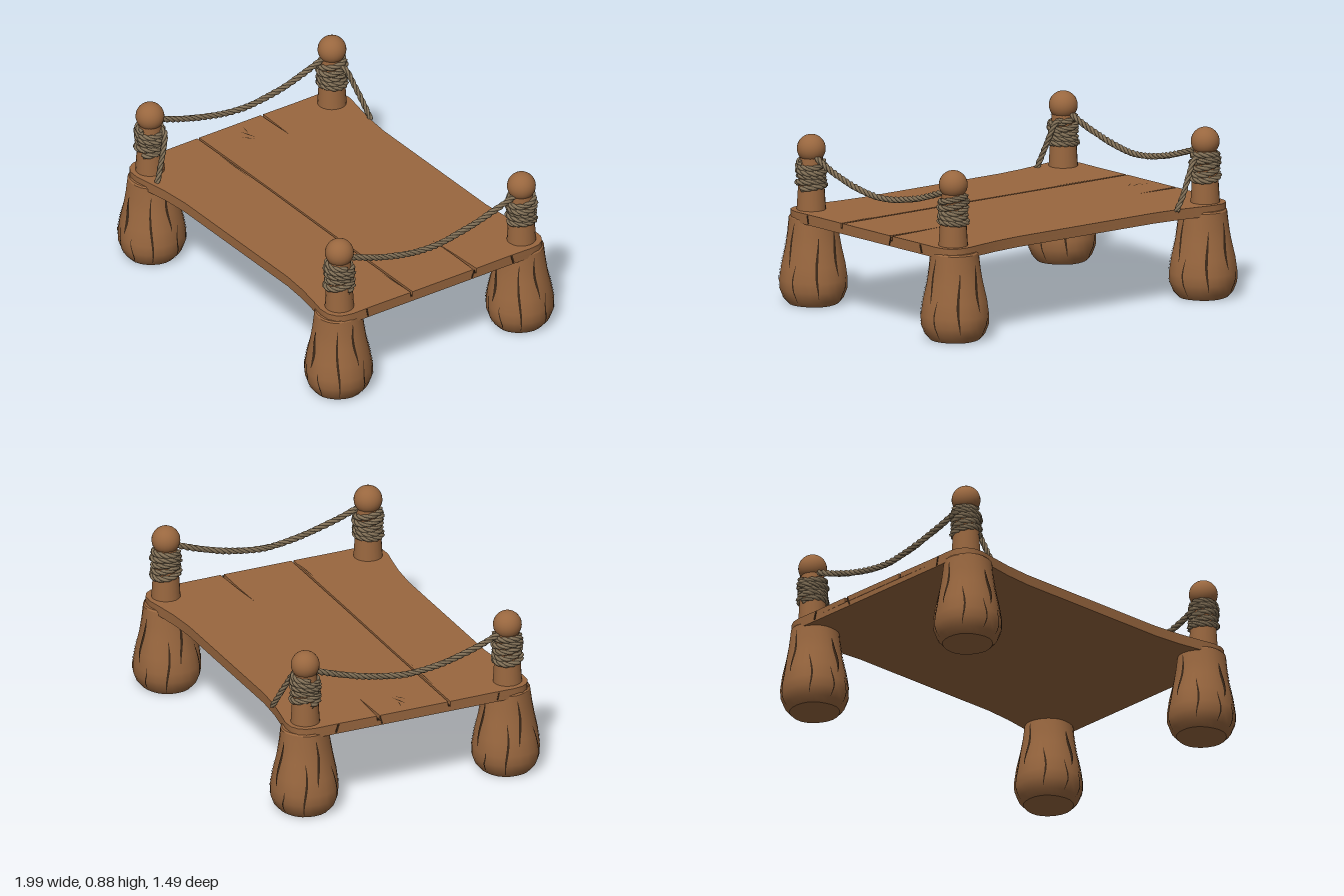
import * as THREE from 'three';
import { toCreasedNormals, mergeGeometries } from 'three/addons/utils/BufferGeometryUtils.js';

const V = (x, y, z) => new THREE.Vector3(x, y, z);
const mat = (name, color, side = THREE.FrontSide) => {
  const m = new THREE.MeshStandardMaterial({ color, side });
  m.name = name;
  return m;
};

// Leg silhouette, bottom to top: radius, height
const LEG = [[0, 0], [0.13, 0], [0.157, 0.03], [0.176, 0.08], [0.177, 0.13], [0.165, 0.21],
  [0.145, 0.3], [0.134, 0.37], [0.125, 0.45], [0.118, 0.458], [0, 0.458]];

// Hewn unevenness of the legs
const wobble = (a, y) => 1 + 0.012 * Math.sin(5 * a + y * 9) + 0.01 * Math.sin(3 * a - y * 14) - 0.01;

function legRadius(a, y) {
  for (let i = 2; i < LEG.length - 1; i++) {
    const [r0, y0] = LEG[i - 1], [r1, y1] = LEG[i];
    if (y <= y1) return THREE.MathUtils.lerp(r0, r1, (y - y0) / (y1 - y0)) * wobble(a, y);
  }
  return 0.12;
}

function legGeometry() {
  const g = new THREE.LatheGeometry(LEG.map(p => new THREE.Vector2(...p)), 24);
  const p = g.attributes.position;
  for (let i = 0; i < p.count; i++) {
    const k = wobble(Math.atan2(p.getX(i), p.getZ(i)), p.getY(i));
    p.setXYZ(i, p.getX(i) * k, p.getY(i), p.getZ(i) * k);
  }
  return toCreasedNormals(g, 0.55);
}

// Thin tapering split that hugs the leg surface
function legCrack(angle, y0, y1, width) {
  const pos = [], idx = [], n = 10;
  for (let i = 0; i <= n; i++) {
    const t = i / n, y = y0 + (y1 - y0) * t;
    const mid = angle + 0.05 * Math.sin(t * 5 + angle);
    const r = legRadius(mid, y) + 0.003;
    const half = (width * Math.sin(Math.PI * (0.06 + t * 0.88)) * 0.5) / r;
    for (const a of [mid - half, mid + half]) pos.push(Math.sin(a) * r, y, Math.cos(a) * r);
    if (i < n) idx.push(2 * i, 2 * i + 1, 2 * i + 2, 2 * i + 1, 2 * i + 3, 2 * i + 2);
  }
  const g = new THREE.BufferGeometry();
  g.setAttribute('position', new THREE.Float32BufferAttribute(pos, 3));
  g.setIndex(idx);
  g.computeVertexNormals();
  return g;
}

// Three strands twisted around a path
function ropeGeometry(path, length, strand = 0.0095, detail = 130) {
  const frames = path.computeFrenetFrames(detail, false);
  const turns = length / 0.11;
  const strands = [0, 1, 2].map(s => {
    const pts = [];
    for (let i = 0; i <= detail; i++) {
      const a = (i / detail) * turns * Math.PI * 2 + (s * Math.PI * 2) / 3;
      pts.push(path.getPointAt(i / detail)
        .addScaledVector(frames.normals[i], Math.cos(a) * strand * 0.85)
        .addScaledVector(frames.binormals[i], Math.sin(a) * strand * 0.85));
    }
    return new THREE.TubeGeometry(new THREE.CatmullRomCurve3(pts), detail, strand, 5);
  });
  return mergeGeometries(strands);
}

// Rope wound around a peg
function wrapPath() {
  const pts = [], turns = 5, per = 16;
  for (let i = 0; i <= turns * per; i++) {
    const t = i / (turns * per), a = t * turns * Math.PI * 2;
    const r = 0.066 + 0.004 * Math.sin(a * 0.37);
    pts.push(V(Math.sin(a) * r, 0.602 + 0.145 * t + 0.009 * Math.sin(a * 1.15), Math.cos(a) * r));
  }
  return new THREE.CatmullRomCurve3(pts);
}

// Deck slab from an outline of [x, z] points
function slab(points, y0, y1) {
  const s = new THREE.Shape(points.map(([x, z]) => new THREE.Vector2(x, -z)));
  const g = new THREE.ExtrudeGeometry(s, { depth: y1 - y0, bevelEnabled: false });
  g.rotateX(-Math.PI / 2);
  g.translate(0, y0, 0);
  return toCreasedNormals(g, 0.5);
}

// Long edge of the deck, flaring to rounded corners, ordered from -x to +x
function longEdge(side) {
  const half = [[0.45, 0.622], [0.6, 0.635], [0.72, 0.655], [0.81, 0.672], [0.87, 0.668],
    [0.91, 0.645], [0.932, 0.61], [0.94, 0.56], [0.938, 0.42]];
  return [...half.map(([x, z]) => [-x, z * side]).reverse(), ...half.map(([x, z]) => [x, z * side])];
}

export function createModel() {
  const root = new THREE.Group();
  const wood = mat('wood', 0x99673f);
  const dark = mat('darkCrack', 0x3b2818, THREE.DoubleSide);
  const rope = mat('rope', 0x857359);
  const add = (parent, name, geometry, material) => {
    const m = new THREE.Mesh(geometry, material);
    m.name = name;
    parent.add(m);
    return m;
  };

  // Deck: solid base, with split boards on top
  const deck = new THREE.Group();
  deck.name = 'deck';
  root.add(deck);
  const front = longEdge(1), back = longEdge(-1);
  add(deck, 'deckBase', slab([...front, ...back.slice().reverse()], 0.435, 0.462), wood);
  add(deck, 'frontBoard', slab([[-0.94, 0.198], ...front, [0.94, 0.2], [0.3, 0.199], [-0.3, 0.195]], 0.462, 0.49), wood);
  add(deck, 'backBoard', slab([
    [-0.94, 0.186], [-0.3, 0.185], [0.3, 0.188], [0.94, 0.188],
    [0.94, -0.193], [0.75, -0.195], [0.57, -0.19], [0.75, -0.203], [0.94, -0.212],
    ...back.slice().reverse(),
    [-0.94, -0.216], [-0.8, -0.212], [-0.7, -0.208], [-0.8, -0.204], [-0.94, -0.2],
  ], 0.462, 0.49), wood);

  // Shaded floors of the board gaps
  for (const [x, z, w, d] of [[0, 0.192, 1.874, 0.016], [0.755, -0.201, 0.364, 0.024], [-0.82, -0.208, 0.234, 0.018]]) {
    add(deck, 'gapFloor', new THREE.BoxGeometry(w, 0.004, d), dark).position.set(x, 0.465, z);
  }

  // Fine splits on the deck surface: x, z, length, width, turn
  for (const [x, z, l, w, turn] of [[-0.82, -0.035, 0.1, 0.008, 0.35], [-0.79, -0.015, 0.07, 0.007, 0.7],
    [-0.86, -0.05, 0.06, 0.006, -0.2], [0.8, 0.207, 0.2, 0.007, 0.03], [-0.6, 0.206, 0.3, 0.006, -0.01]]) {
    const s = new THREE.Shape([[-l / 2, 0], [0, -w / 2], [l / 2, 0], [0, w / 2]].map(p => new THREE.Vector2(...p)));
    const m = add(deck, 'deckSplit', new THREE.ShapeGeometry(s), dark);
    m.rotation.set(-Math.PI / 2, 0, turn);
    m.position.set(x, 0.4915, z);
  }

  // Splits on the short ends of the deck
  for (const side of [-1, 1]) {
    for (const [z, w, tilt] of [[0.47, 0.008, 0.2], [-0.192, 0.007, -0.3], [-0.44, 0.01, 0.3]]) {
      const m = add(deck, 'endSplit', new THREE.BoxGeometry(0.004, 0.045, w), dark);
      m.position.set(side * 0.9395, 0.463, z);
      m.rotation.x = tilt;
    }
  }

  // Corner posts: leg, peg, knob and rope winding
  const legGeo = legGeometry();
  const cracks = mergeGeometries([[0, 0.17, 0.37, 0.022], [-0.2, 0.03, 0.19, 0.009], [0.35, 0.02, 0.16, 0.007],
    [0.95, 0.03, 0.4, 0.012], [1.57, 0.2, 0.43, 0.014], [1.85, 0.02, 0.22, 0.009], [2.6, 0.05, 0.36, 0.014],
    [3.3, 0.16, 0.4, 0.018], [3.6, 0.02, 0.15, 0.008], [4.3, 0.02, 0.3, 0.012], [4.75, 0.18, 0.42, 0.015],
    [5.4, 0.04, 0.26, 0.01]].map(c => legCrack(...c)));
  const wrapGeo = ropeGeometry(wrapPath(), 2.1, 0.0095, 260);
  for (const sx of [-1, 1]) for (const sz of [-1, 1]) {
    const post = new THREE.Group();
    post.name = 'cornerPost';
    root.add(post);
    for (const [name, geo, m] of [['leg', legGeo, wood], ['legCracks', cracks, dark]]) {
      add(post, name, geo, m).position.set(sx * 0.821, 0, sz * 0.569);
    }
    const top = new THREE.Group();
    top.name = 'postTop';
    top.position.set(sx * 0.833, 0, sz * 0.571);
    post.add(top);
    add(top, 'peg', new THREE.CylinderGeometry(0.058, 0.077, 0.31, 20), wood).position.y = 0.615;
    add(top, 'knob', new THREE.SphereGeometry(0.074, 24, 16), wood).position.y = 0.806;
    add(top, 'ropeWinding', wrapGeo, rope).rotation.y = sx * 0.6 + sz;
  }

  // Sagging ropes along the short ends
  for (const side of [-1, 1]) {
    const pts = [-0.53, -0.48, -0.36, -0.2, 0, 0.2, 0.36, 0.48, 0.53].map(z =>
      V(side * (0.842 + 0.006 * Math.sin(z * 6)), 0.642 + 0.115 * Math.pow(Math.abs(z) / 0.5, 1.7), z));
    add(root, 'sideRope', ropeGeometry(new THREE.CatmullRomCurve3(pts), 1.15), rope);
  }

  // Loose rope ends hanging from the right posts
  for (const pts of [
    [V(-0.79, 0.735, 0.53), V(-0.755, 0.73, 0.535), V(-0.73, 0.65, 0.56), V(-0.715, 0.57, 0.59), V(-0.7, 0.488, 0.62)],
    [V(-0.79, 0.725, -0.58), V(-0.745, 0.725, -0.59), V(-0.69, 0.645, -0.61), V(-0.64, 0.56, -0.63), V(-0.585, 0.482, -0.64)],
  ]) add(root, 'looseRopeEnd', ropeGeometry(new THREE.CatmullRomCurve3(pts), 0.32, 0.0085, 50), rope);

  return root;
}
